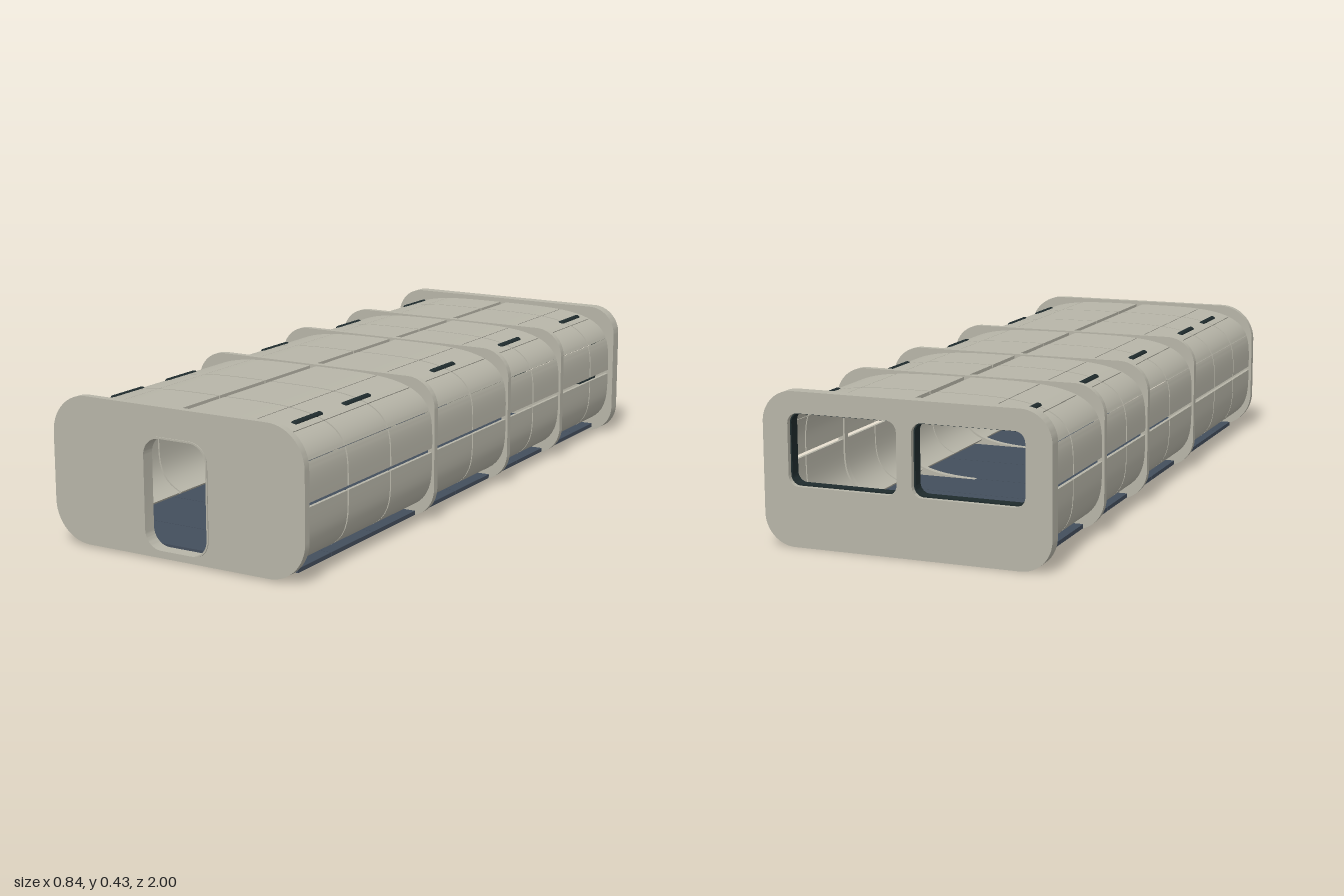
import * as THREE from 'three';
import { toCreasedNormals } from 'three/addons/utils/BufferGeometryUtils.js';
import { RoundedBoxGeometry } from 'three/addons/geometries/RoundedBoxGeometry.js';

const A = 0.405, B = 0.205, CY = 0.215; // half width, half height and centre of the hull section

// Point on the squarish oval hull section; t in degrees, inset moves it inward
function hullPoint(t, inset = 0) {
  const r = THREE.MathUtils.degToRad(t), c = Math.cos(r), s = Math.sin(r);
  return new THREE.Vector2(
    (A - inset) * Math.sign(c) * Math.sqrt(Math.abs(c)),
    CY + (B - inset) * Math.sign(s) * Math.sqrt(Math.abs(s)));
}

function roundRect(path, x0, y0, x1, y1, r) {
  path.moveTo(x0 + r, y0).lineTo(x1 - r, y0);
  path.absarc(x1 - r, y0 + r, r, -Math.PI / 2, 0, false);
  path.absarc(x1 - r, y1 - r, r, 0, Math.PI / 2, false);
  path.absarc(x0 + r, y1 - r, r, Math.PI / 2, Math.PI, false);
  path.absarc(x0 + r, y0 + r, r, Math.PI, Math.PI * 1.5, false);
  return path;
}

// Extrude a shape from z0 to z1
function slab(shape, z0, z1) {
  const g = new THREE.ExtrudeGeometry(shape, { depth: z1 - z0, bevelEnabled: false, curveSegments: 10 });
  g.translate(0, 0, z0);
  return toCreasedNormals(g, 0.6);
}

export function createModel() {
  const group = new THREE.Group();
  const material = (name, color) => {
    const m = new THREE.MeshStandardMaterial({ color });
    m.name = name;
    return m;
  };
  const hull = material('warm grey hull', 0xb7b5a8);
  const deck = material('slate floor', 0x434e5c);
  const rubber = material('dark trim', 0x1f2b2d);
  const add = (name, geometry, mat) => {
    const mesh = new THREE.Mesh(geometry, mat);
    mesh.name = name;
    group.add(mesh);
    return mesh;
  };

  // Front bulkhead with doorway and a raised door lip
  const front = roundRect(new THREE.Shape(), -0.413, 0.006, 0.413, 0.43, 0.115);
  front.holes.push(roundRect(new THREE.Path(), -0.105, 0.025, 0.105, 0.345, 0.055));
  add('frontBulkhead', slab(front, 0.975, 0.997), hull);
  const lip = roundRect(new THREE.Shape(), -0.107, 0.023, 0.107, 0.347, 0.057);
  lip.holes.push(roundRect(new THREE.Path(), -0.102, 0.028, 0.102, 0.342, 0.052));
  add('doorLip', slab(lip, 0.96, 1), hull);

  // Rear bulkhead with two windows and dark seals
  const rear = roundRect(new THREE.Shape(), -0.42, 0, 0.42, 0.433, 0.09);
  for (const s of [-1, 1]) {
    const x0 = s > 0 ? 0.022 : -0.345, x1 = s > 0 ? 0.345 : -0.022;
    rear.holes.push(roundRect(new THREE.Path(), x0, 0.17, x1, 0.373, 0.03));
    const seal = roundRect(new THREE.Shape(), x0 - 0.012, 0.16, x1 + 0.012, 0.383, 0.04);
    seal.holes.push(roundRect(new THREE.Path(), x0 + 0.002, 0.172, x1 - 0.002, 0.371, 0.028));
    add('windowSeal', slab(seal, -0.96, -0.948), rubber);
    const inner = roundRect(new THREE.Shape(), x0, 0.17, x1, 0.373, 0.03);
    inner.holes.push(roundRect(new THREE.Path(), x0 + 0.004, 0.174, x1 - 0.004, 0.369, 0.026));
    add('windowLiner', slab(inner, -0.985, -0.96), rubber);
  }
  add('rearBulkhead', slab(rear, -1, -0.96), hull);

  // Raised ribs around the hull
  for (const z of [0.29, -0.182, -0.565]) {
    const rib = roundRect(new THREE.Shape(), -0.412, 0.008, 0.412, 0.425, 0.09);
    const hole = [];
    for (let t = 0; t < 360; t += 4) hole.push(hullPoint(t, 0.014));
    rib.holes.push(new THREE.Path(hole));
    add('rib', slab(rib, z - 0.01, z + 0.01), hull);
  }

  // Curved hull panels with narrow seams, mirrored left and right
  const seams = [-0.957, -0.805, -0.565, -0.365, -0.182, 0.048, 0.29, 0.54, 0.768, 0.975];
  const spans = [[-50, -0.05], [0.05, 18], [18.5, 48], [48.7, 72.6], [73, 89.96]];
  for (const [t0, t1] of spans) {
    for (const side of [1, -1]) {
      const outer = [], inner = [], n = 12;
      for (let i = 0; i <= n; i++) {
        // Eased steps keep points dense at the flat ends of the section
        const u = i / n, t = t0 + (t1 - t0) * u * u * (3 - 2 * u);
        outer.push(hullPoint(t));
        inner.unshift(hullPoint(t, 0.009));
      }
      const shape = new THREE.Shape([...outer, ...inner].map(p => new THREE.Vector2(p.x * side, p.y)));
      for (let k = 0; k < seams.length - 1; k++)
        add('hullPanel', slab(shape, seams[k] + 0.003, seams[k + 1] - 0.003), hull);
    }
  }

  // Floor panels
  for (let k = 0; k < seams.length - 1; k++) {
    const z0 = seams[k] + 0.001, z1 = Math.min(seams[k + 1], 0.935) - 0.001;
    add('floorPanel', new THREE.BoxGeometry(0.7, 0.012, z1 - z0), deck)
      .position.set(0, 0.019, (z0 + z1) / 2);
  }

  // Dark grab handles set into the upper corners
  for (const z of [0.805, 0.55, 0.048, -0.4, -0.855]) {
    for (const s of [-1, 1]) {
      const handle = add('grabHandle', new RoundedBoxGeometry(0.02, 0.028, 0.145, 3, 0.009), rubber);
      handle.position.set(s * 0.298, 0.394, z);
      handle.rotation.z = -s * 0.27;
    }
  }
  return group;
}
